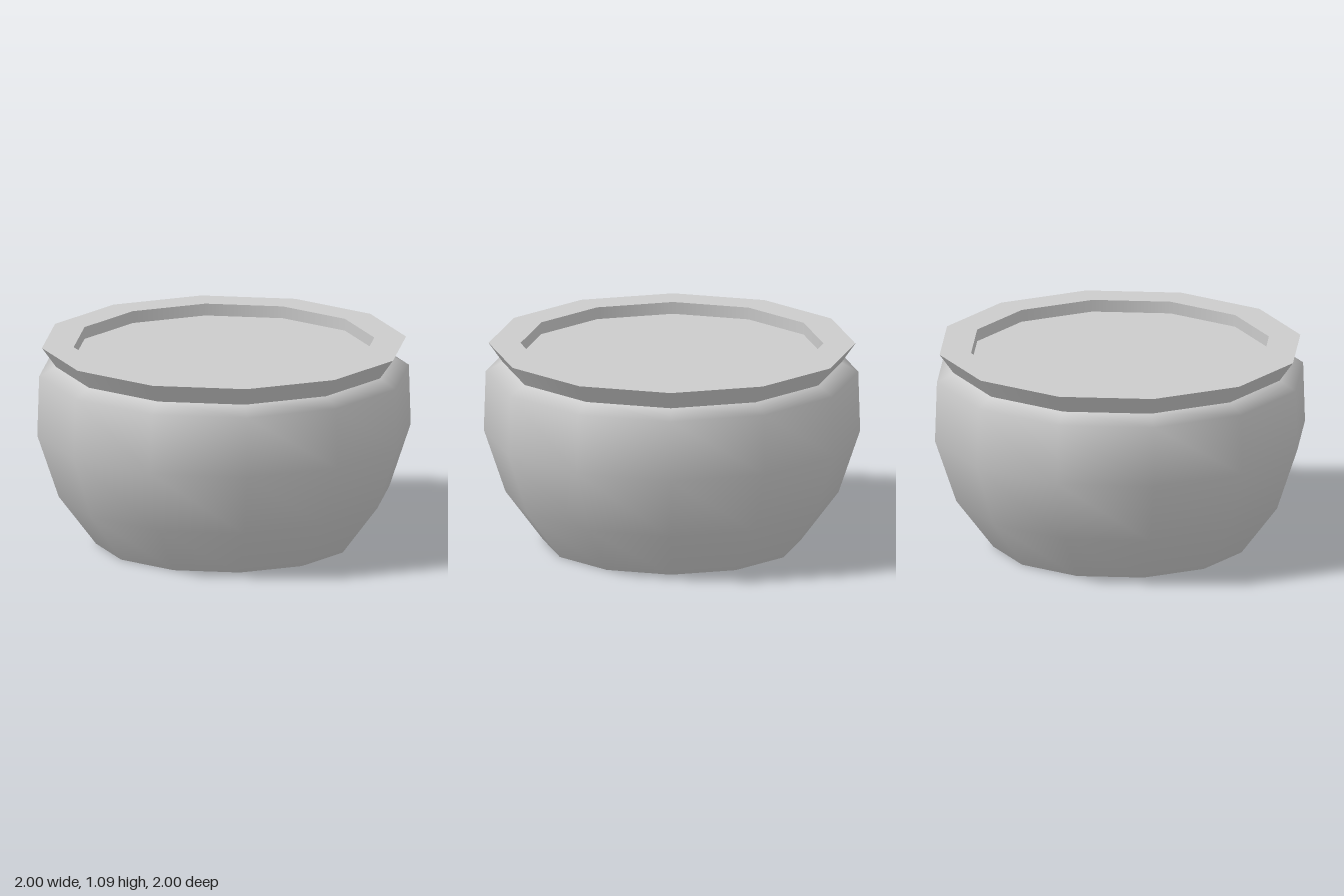
import * as THREE from 'three';

const SIDES = 12;
const material = new THREE.MeshStandardMaterial({ color: 0xcccccc });

// Twelve-sided ring surface from [radius, height] points, smooth within itself
function turned(name, profile) {
  const points = profile.map(([r, y]) => new THREE.Vector2(r, y));
  const mesh = new THREE.Mesh(new THREE.LatheGeometry(points, SIDES), material);
  mesh.name = name;
  return mesh;
}

export function createModel() {
  const pot = new THREE.Group();
  pot.name = 'pot';

  // Flat base and rounded bowl
  pot.add(turned('base', [[0, 0], [0.685, 0]]));
  pot.add(turned('bowl', [[0.685, 0], [0.885, 0.265], [1, 0.605], [0.99, 0.93], [0.9, 0.98]]));

  // Flared rim: each face is its own surface so the edges stay sharp
  const rim = new THREE.Group();
  rim.name = 'rim';
  rim.add(
    turned('rimOuter', [[0.9, 0.98], [0.975, 1.085]]),
    turned('rimTop', [[0.975, 1.085], [0.805, 1.085]]),
    turned('rimInner', [[0.805, 1.085], [0.805, 1.02]]),
  );
  pot.add(rim);

  // Flat filling just below the rim
  pot.add(turned('soil', [[0.805, 1.02], [0, 1.02]]));

  return pot;
}
